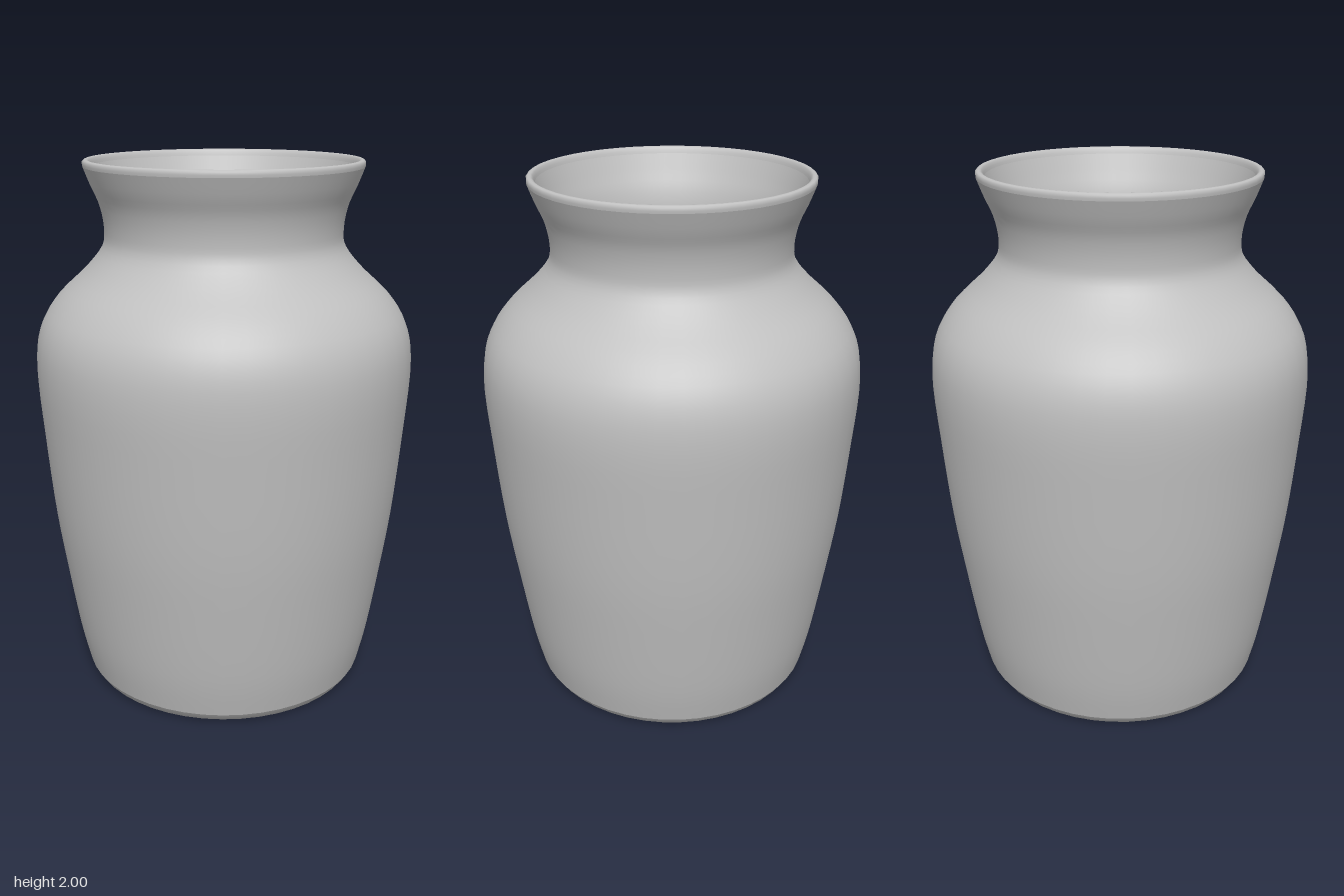
import * as THREE from 'three';

// Smooth run of profile points [radius, height]
function smoothProfile(points, divisions) {
  return new THREE.SplineCurve(points.map(([r, y]) => new THREE.Vector2(r, y))).getPoints(divisions);
}

export function createModel() {
  const group = new THREE.Group();
  group.name = 'vase';

  const clay = new THREE.MeshStandardMaterial({ color: 0xc0c0c0 });
  clay.name = 'grey clay';

  const lathe = (name, profile) => {
    const mesh = new THREE.Mesh(new THREE.LatheGeometry(profile, 48), clay);
    mesh.name = name;
    group.add(mesh);
  };

  // Underside: shallow recess inside a foot ring
  lathe('foot', [[0, 0.025], [0.33, 0.025], [0.37, 0.008], [0.42, 0], [0.49, 0.003], [0.53, 0.015], [0.55, 0.045]]
    .map(([r, y]) => new THREE.Vector2(r, y)));

  // Outer wall: tapered body, round shoulder, narrow neck, flared mouth
  lathe('outerWall', smoothProfile([
    [0.55, 0.045], [0.585, 0.2], [0.625, 0.45], [0.66, 0.7], [0.687, 1], [0.703, 1.25],
    [0.682, 1.4], [0.615, 1.51], [0.51, 1.61], [0.447, 1.69], [0.438, 1.76],
    [0.452, 1.84], [0.482, 1.91], [0.507, 1.975],
  ], 48));

  // Rounded lip
  lathe('lip', smoothProfile([[0.507, 1.975], [0.508, 1.993], [0.497, 2], [0.485, 1.995], [0.478, 1.975]], 8));

  // Inner wall follows the outer one down to the floor
  lathe('innerWall', smoothProfile([
    [0.478, 1.975], [0.452, 1.91], [0.424, 1.84], [0.41, 1.76], [0.418, 1.68], [0.485, 1.59],
    [0.59, 1.49], [0.652, 1.39], [0.673, 1.25], [0.657, 1], [0.63, 0.7], [0.595, 0.45],
    [0.555, 0.2], [0.53, 0.1], [0.47, 0.06],
  ], 48));

  // Inside floor
  lathe('floor', [new THREE.Vector2(0.47, 0.06), new THREE.Vector2(0, 0.055)]);

  return group;
}
